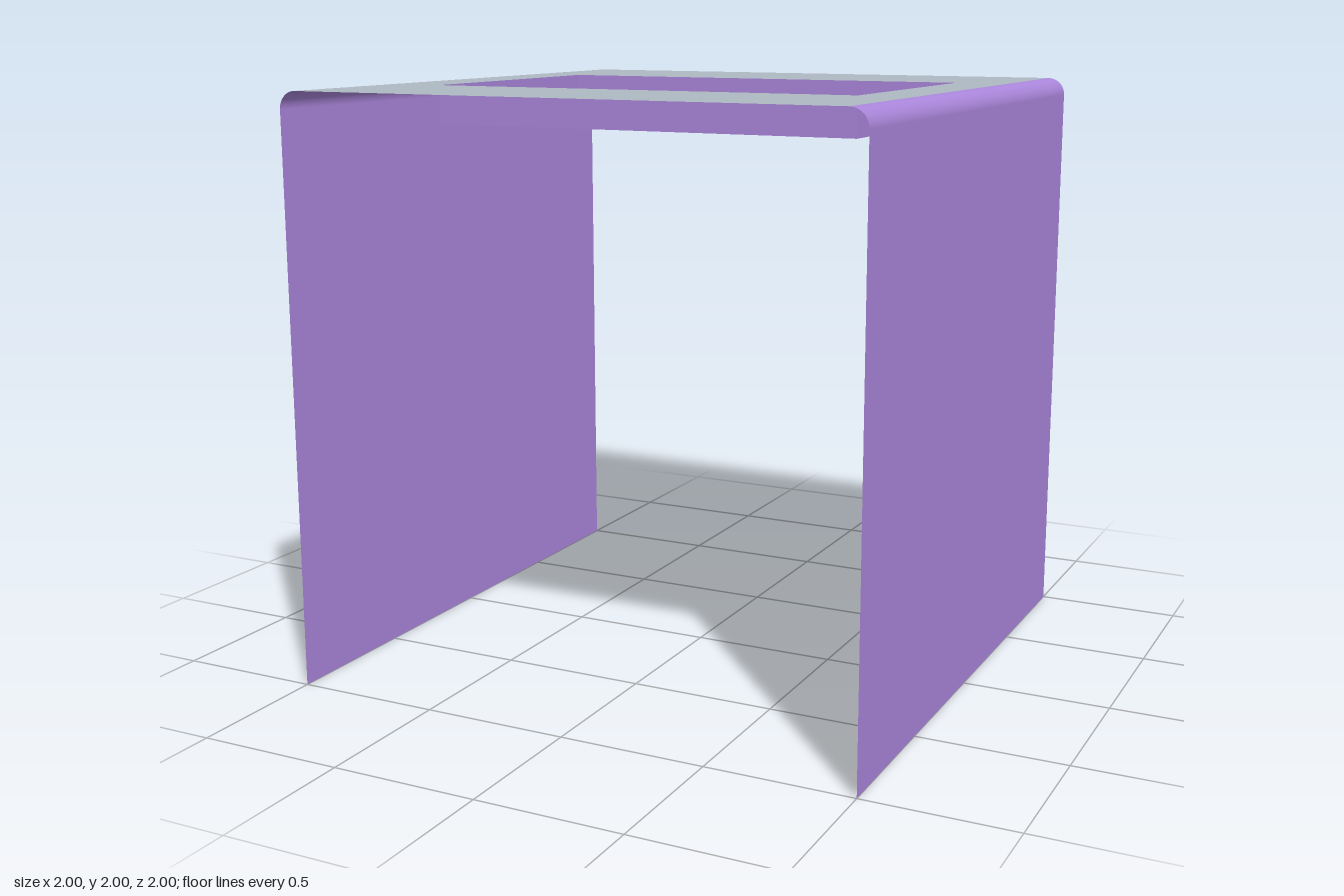
import * as THREE from 'three';

export function createModel() {
  const model = new THREE.Group();
  const purple = new THREE.MeshStandardMaterial({ color: 0xab87dc, side: THREE.DoubleSide });
  purple.name = 'purple';
  const grey = new THREE.MeshStandardMaterial({ color: 0xafb9c3, side: THREE.DoubleSide });
  grey.name = 'grey';

  const R = 0.06;                                   // bend radius
  const X = 0.757, Z0 = -0.472, Z1 = 0.465;         // tray opening
  const FLOOR = 1.87, depth = 2 - FLOOR;
  const midZ = (Z0 + Z1) / 2, midY = (2 + FLOOR) / 2;

  const add = (name, geometry, material, x = 0, y = 0, z = 0) => {
    const mesh = new THREE.Mesh(geometry, material);
    mesh.name = name;
    mesh.position.set(x, y, z);
    model.add(mesh);
  };

  // Flat top sheet with a rectangular opening
  const rect = (Type, x, z0, z1) => {
    const path = new Type();
    path.moveTo(-x, -z1).lineTo(x, -z1).lineTo(x, -z0).lineTo(-x, -z0).closePath();
    return path;
  };
  const top = rect(THREE.Shape, 1 - R, -1, 1);
  top.holes.push(rect(THREE.Path, X, Z0, Z1));
  add('topPanel', new THREE.ShapeGeometry(top).rotateX(-Math.PI / 2), grey, 0, 2, 0);

  // Thin side sheets that bend into the top, and the tray's end walls
  for (const [side, s] of [['left', 1], ['right', -1]]) {
    const bend = new THREE.CylinderGeometry(R, R, 2, 12, 1, true, s > 0 ? 0 : -Math.PI / 2, Math.PI / 2);
    add(side + 'Bend', bend.rotateX(-Math.PI / 2), purple, s * (1 - R), 2 - R, 0);
    add(side + 'Side', new THREE.PlaneGeometry(2, 2 - R).rotateY(s * Math.PI / 2), purple, s, (2 - R) / 2, 0);
    add(side + 'TrayWall', new THREE.PlaneGeometry(Z1 - Z0, depth).rotateY(-s * Math.PI / 2), purple, s * X, midY, midZ);
  }

  // Front and back tray walls, then the tray floor
  add('frontTrayWall', new THREE.PlaneGeometry(2 * X, depth).rotateY(Math.PI), purple, 0, midY, Z1);
  add('backTrayWall', new THREE.PlaneGeometry(2 * X, depth), purple, 0, midY, Z0);
  add('trayFloor', new THREE.PlaneGeometry(2 * X, Z1 - Z0).rotateX(-Math.PI / 2), purple, 0, FLOOR, midZ);

  return model;
}
